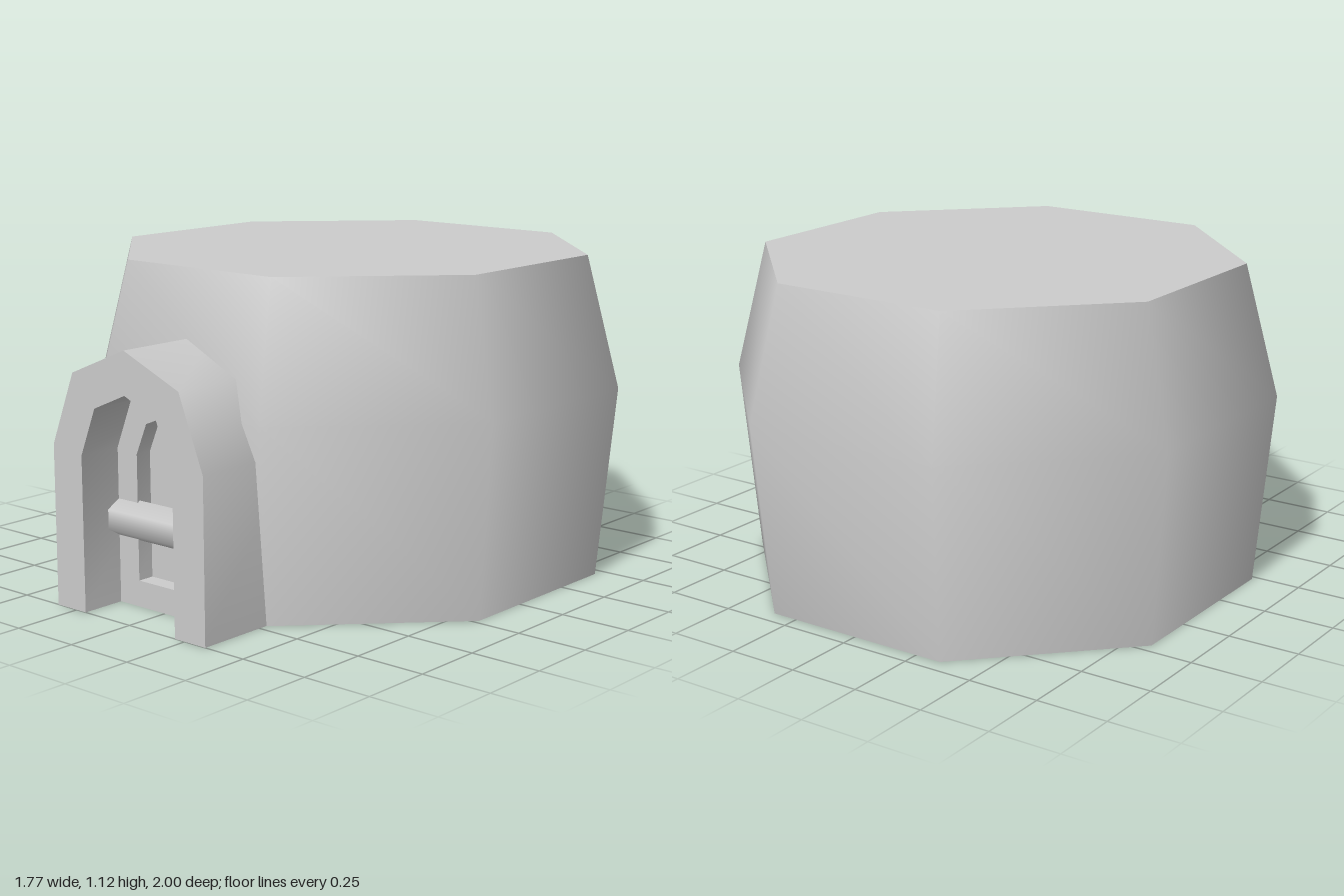
import * as THREE from 'three';
import { toCreasedNormals } from 'three/addons/utils/BufferGeometryUtils.js';

const CREASE = 0.9; // keeps 45 degree bends smooth and right angles sharp

export function createModel() {
  const group = new THREE.Group();
  const material = new THREE.MeshStandardMaterial({ color: 0xcccccc });

  const add = (name, geometry, z = 0, y = 0) => {
    const mesh = new THREE.Mesh(geometry, material);
    mesh.name = name;
    mesh.position.set(0, y, z);
    group.add(mesh);
  };

  // Pointed arch outline: half widths and heights, mirrored about x = 0
  const archPoints = (w, base, spring, shoulderW, shoulder, apex) => [
    [-w, base], [w, base], [w, spring], [shoulderW, shoulder],
    [0, apex], [-shoulderW, shoulder], [-w, spring],
  ].map(([x, y]) => new THREE.Vector2(x, y));

  const extrude = (shape, depth) => toCreasedNormals(
    new THREE.ExtrudeGeometry(shape, { depth, bevelEnabled: false }), CREASE);

  const outer = archPoints(0.34, 0, 0.55, 0.24, 0.8, 0.9);
  const inner = archPoints(0.207, 0, 0.53, 0.14, 0.695, 0.755);
  const pane = archPoints(0.117, 0.09, 0.52, 0.07, 0.628, 0.655);

  // Eight-sided body, widest a little above the middle (radii given across flats)
  const profile = [[0, 0], [0.83, 0], [0.887, 0.67], [0.778, 1.125], [0, 1.125]]
    .map(([r, y]) => new THREE.Vector2(r / Math.cos(Math.PI / 8), y));
  add('body', toCreasedNormals(new THREE.LatheGeometry(profile, 8, Math.PI / 8), CREASE), -0.113);

  // Porch: one outline running up the outside and back down the inside, open at the floor
  const outside = [...outer.slice(1), outer[0]];
  const inside = [...inner.slice(1), inner[0]].reverse();
  add('doorArch', extrude(new THREE.Shape([...outside, ...inside]), 0.4), 0.6);

  // Door set back in the arch, with a sunken pane
  const door = new THREE.Shape(inner);
  door.holes.push(new THREE.Path(pane));
  add('door', extrude(door, 0.24), 0.6);
  add('doorPane', extrude(new THREE.Shape(pane), 0.18), 0.6);

  // Six-sided bar across the door
  const bar = new THREE.CylinderGeometry(0.068, 0.068, 0.414, 6, 1, false, Math.PI / 6);
  bar.rotateZ(Math.PI / 2);
  add('doorBar', bar, 0.83, 0.294);

  return group;
}
